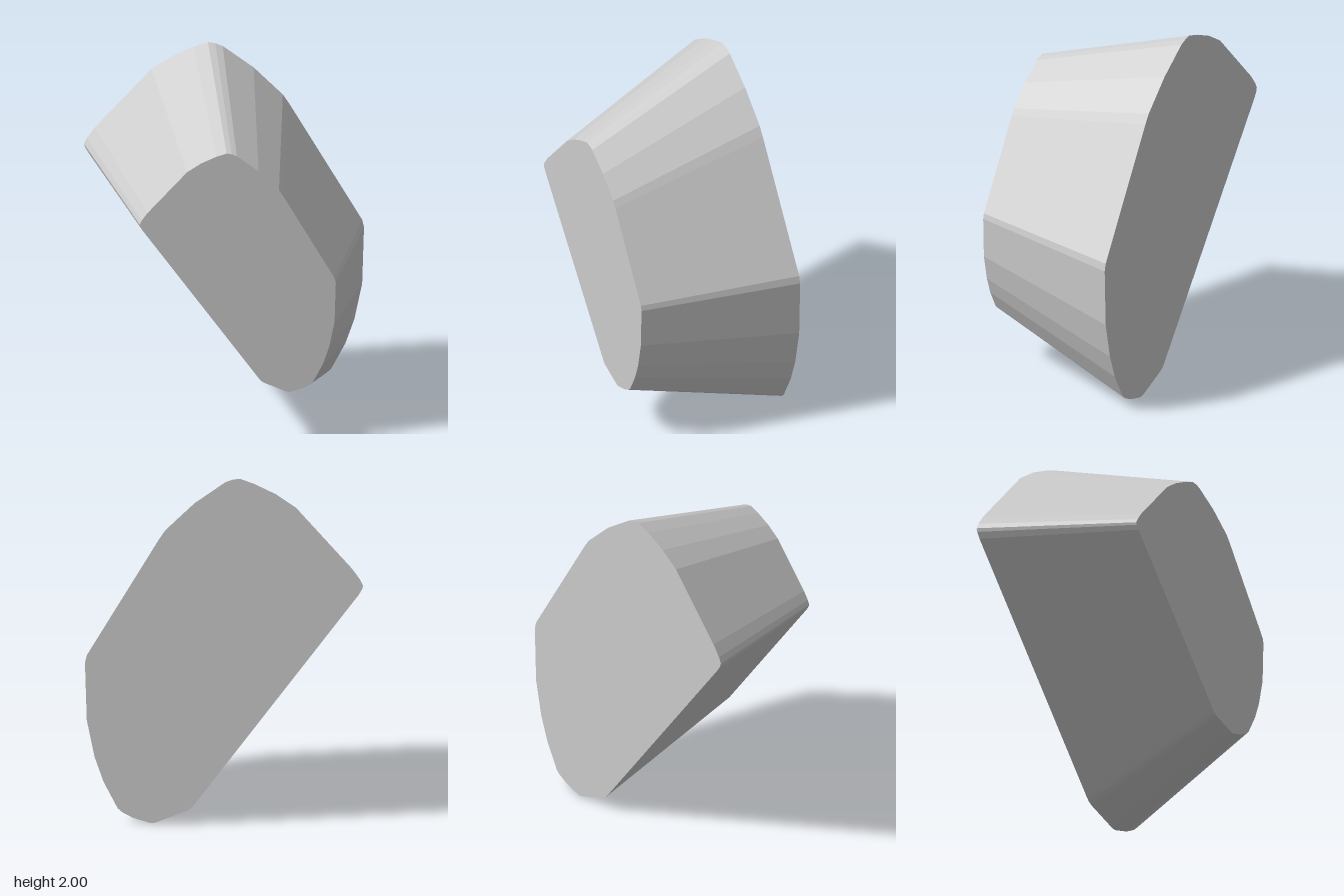
import * as THREE from 'three';

// Wide back outline, counter-clockwise as seen from the front
const OUTLINE = [
  [-0.09, 2], [-0.17, 1.973], [-0.29, 1.918], [-0.4, 1.845], [-0.71, 1.505],
  [-0.755, 1.443], [-0.77, 1.41], [-0.765, 1.39], [-0.745, 1.355],
  [0.16, 0.118], [0.178, 0.095], [0.2, 0.08], [0.375, 0.005], [0.4, 0],
  [0.5, 0.027], [0.56, 0.058], [0.585, 0.08], [0.663, 0.23], [0.712, 0.37],
  [0.755, 0.58], [0.765, 0.91], [0.755, 0.953], [0.355, 1.637],
  [0.32, 1.69], [0.16, 1.85], [-0.01, 1.977], [-0.05, 1.993],
];
const HALF_DEPTH = 0.452;
const TAPER = 0.7;

// The front outline is the back outline shrunk and shifted
const toFront = ([x, y]) => [x * TAPER + 0.058, y * TAPER + 0.289];

export function createModel() {
  const stone = new THREE.MeshStandardMaterial({ color: 0xcccccc });
  stone.name = 'light grey';

  const front = OUTLINE.map(toFront).map(([x, y]) => [x, y, HALF_DEPTH]);
  const back = OUTLINE.map(([x, y]) => [x, y, -HALF_DEPTH]);
  const n = OUTLINE.length;
  const group = new THREE.Group();
  group.name = 'taperedBlock';

  const addPart = (name, corners) => {
    const geometry = new THREE.BufferGeometry();
    geometry.setAttribute('position', new THREE.Float32BufferAttribute(corners.flat(), 3));
    geometry.computeVertexNormals();
    const mesh = new THREE.Mesh(geometry, stone);
    mesh.name = name;
    group.add(mesh);
  };

  // Faceted sloping sides and the two flat end faces
  const sides = [], frontFace = [], backFace = [];
  for (let i = 0; i < n; i++) {
    const j = (i + 1) % n;
    sides.push(back[i], back[j], front[j], back[i], front[j], front[i]);
    if (i > 0 && j > 0) {
      frontFace.push(front[0], front[i], front[j]);
      backFace.push(back[0], back[j], back[i]);
    }
  }
  addPart('slopingSides', sides);
  addPart('frontFace', frontFace);
  addPart('backFace', backFace);
  return group;
}
